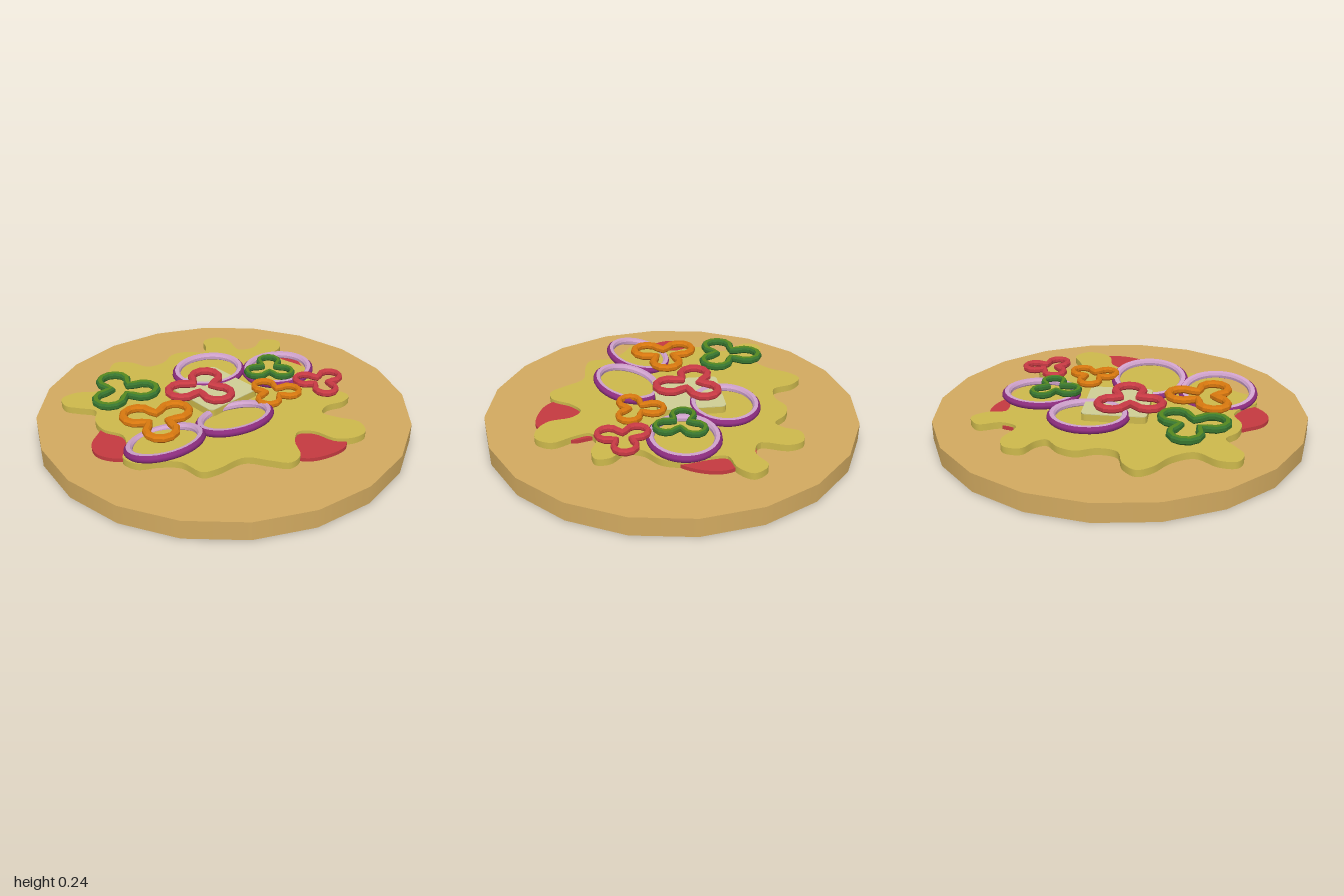
import * as THREE from 'three';
import { toCreasedNormals } from 'three/addons/utils/BufferGeometryUtils.js';

const mat = (name, color, side = THREE.FrontSide) => {
  const m = new THREE.MeshStandardMaterial({ color, side });
  m.name = name;
  return m;
};

// Smooth closed outline through x, z pairs
function blobShape(xz, divisions) {
  const pts = [];
  for (let i = 0; i < xz.length; i += 2) pts.push(new THREE.Vector3(xz[i], xz[i + 1], 0));
  const curve = new THREE.CatmullRomCurve3(pts, true);
  return new THREE.Shape(curve.getPoints(divisions).slice(0, -1).map(p => new THREE.Vector2(p.x, p.y)));
}

// Lies flat: shape coordinates are x and z, top at the given height
function slab(shape, top, depth) {
  const g = new THREE.ExtrudeGeometry(shape, { depth, bevelEnabled: false });
  g.rotateX(Math.PI / 2);
  g.translate(0, top, 0);
  return toCreasedNormals(g, 0.6);
}

// Three-lobed pepper slice: a wall of even width following a clover line
function pepperGeometry() {
  const line = [];
  for (let k = 0; k < 3; k++) {
    const a = k * Math.PI * 2 / 3, c = Math.cos(a), s = Math.sin(a);
    for (let i = 0; i <= 8; i++) {
      const f = THREE.MathUtils.degToRad(-128 + 32 * i);
      const x = 0.11 + 0.075 * Math.cos(f), y = 0.075 * Math.sin(f);
      line.push(new THREE.Vector2(x * c - y * s, x * s + y * c));
    }
    line.push(new THREE.Vector2(Math.cos(a + Math.PI / 3), Math.sin(a + Math.PI / 3)).multiplyScalar(0.058));
  }
  const n = line.length;
  const offset = d => line.map((p, i) => {
    const t = line[(i + 1) % n].clone().sub(line[(i + n - 1) % n]).normalize();
    return new THREE.Vector2(p.x + t.y * d, p.y - t.x * d);
  });
  const shape = new THREE.Shape(offset(0.011));
  shape.holes.push(new THREE.Path(offset(-0.011)));
  const g = new THREE.ExtrudeGeometry(shape, {
    depth: 0.017, bevelEnabled: true, bevelSize: 0.009, bevelThickness: 0.01, bevelSegments: 1,
  });
  g.rotateX(Math.PI / 2);
  g.translate(0, 0.0085, 0);
  return g;
}

export function createModel() {
  const model = new THREE.Group();
  const crust = mat('crust tan', 0xd2aa60);
  const sauceRed = mat('sauce red', 0xc43a40);
  const cheeseYellow = mat('cheese yellow', 0xcdb94c);
  const paleCheese = mat('pale cheese', 0xcfce95);
  const onionPurple = mat('onion purple', 0x8a2c7c, THREE.DoubleSide);
  const onionLilac = mat('onion lilac', 0xcfa2cc, THREE.DoubleSide);
  const pepperRed = mat('pepper red', 0xc83a44);
  const pepperOrange = mat('pepper orange', 0xd8780f);
  const pepperGreen = mat('pepper green', 0x54881f);
  const greenSkin = mat('green skin', 0x37742f);

  const add = (name, geometry, material, parent = model) => {
    const m = new THREE.Mesh(geometry, material);
    m.name = name;
    parent.add(m);
    return m;
  };

  // Base
  const base = new THREE.CylinderGeometry(1, 1, 0.1, 20);
  base.translate(0, 0.05, 0);
  add('crustBase', base, crust);

  // Sauce, showing past the cheese in a few places
  add('sauce', slab(blobShape([
    -0.36, -0.5, -0.33, -0.58, -0.2, -0.67, -0.1, -0.67, 0.02, -0.61, 0.15, -0.45, 0.3, -0.32, 0.43, -0.3,
    0.54, -0.32, 0.62, -0.25, 0.72, -0.16, 0.71, -0.02, 0.65, 0.08, 0.5, 0.12, 0.35, 0.25, 0.25, 0.45,
    0.12, 0.62, 0.04, 0.74, -0.06, 0.79, -0.15, 0.76, -0.22, 0.66, -0.35, 0.45, -0.45, 0.15, -0.4, -0.2,
  ], 110), 0.12, 0.025), sauceRed);

  // Melted cheese
  add('meltedCheese', slab(blobShape([
    -0.3, -0.74, -0.23, -0.68, -0.2, -0.58, -0.1, -0.58, 0.02, -0.6, 0.12, -0.57, 0.2, -0.48, 0.28, -0.46,
    0.36, -0.53, 0.43, -0.53, 0.45, -0.46, 0.42, -0.36, 0.45, -0.29, 0.53, -0.31, 0.64, -0.36, 0.72, -0.31,
    0.72, -0.23, 0.66, -0.15, 0.54, -0.12, 0.49, -0.06, 0.54, 0.02, 0.64, 0.09, 0.65, 0.17, 0.57, 0.23,
    0.47, 0.3, 0.45, 0.46, 0.42, 0.53, 0.29, 0.55, 0.21, 0.63, 0.16, 0.71, 0.07, 0.73, 0.02, 0.67,
    -0.09, 0.61, -0.2, 0.65, -0.3, 0.63, -0.38, 0.57, -0.46, 0.62, -0.53, 0.66, -0.61, 0.63, -0.61, 0.54,
    -0.54, 0.43, -0.6, 0.32, -0.71, 0.24, -0.75, 0.17, -0.69, 0.1, -0.58, 0.06, -0.56, -0.04, -0.6, -0.14,
    -0.57, -0.23, -0.5, -0.3, -0.53, -0.35, -0.61, -0.4, -0.6, -0.49, -0.52, -0.52, -0.38, -0.48, -0.34, -0.57,
    -0.38, -0.68,
  ], 260), 0.137, 0.037), cheeseYellow);

  // Central cheese piece with a pale top
  const square = new THREE.Shape();
  const x0 = -0.27, x1 = 0.09, z0 = -0.17, z1 = 0.17, r = 0.03;
  square.moveTo(x0 + r, z0).lineTo(x1 - r, z0).quadraticCurveTo(x1, z0, x1, z0 + r)
    .lineTo(x1, z1 - r).quadraticCurveTo(x1, z1, x1 - r, z1)
    .lineTo(x0 + r, z1).quadraticCurveTo(x0, z1, x0, z1 - r)
    .lineTo(x0, z0 + r).quadraticCurveTo(x0, z0, x0 + r, z0);
  add('cheesePiece', slab(square, 0.174, 0.04), cheeseYellow);
  add('cheesePieceTop', slab(square, 0.178, 0.004), paleCheese);

  // Onion rings: purple outside, lilac top and inside
  const lathe = pts => new THREE.LatheGeometry(pts.map(p => new THREE.Vector2(...p)), 32);
  const skin = lathe([[0.185, -0.02], [0.205, -0.018], [0.215, -0.006], [0.213, 0.006], [0.2, 0.018]]);
  const flesh = toCreasedNormals(
    lathe([[0.2, 0.018], [0.178, 0.018], [0.169, 0.006], [0.17, -0.01], [0.185, -0.02]]), 0.7);
  [
    [-0.01, 0.167, -0.43, 0],
    [-0.265, 0.167, -0.13, 0],
    [0.228, 0.184, 0.137, 0.22],
    [0.135, 0.165, 0.52, 0.22],
  ].forEach(([x, y, z, tilt], i) => {
    const ring = new THREE.Group();
    ring.name = 'onionRing' + (i + 1);
    ring.position.set(x, y, z);
    ring.rotation.z = tilt;
    ring.scale.x = 0.88;
    add('onionSkin', skin, onionPurple, ring);
    add('onionFlesh', flesh, onionLilac, ring);
    model.add(ring);
  });

  // Pepper slices: x, z, turn in degrees, scale
  const pepper = pepperGeometry();
  [
    ['redPepperLarge', pepperRed, -0.105, 0.065, -8, 1],
    ['orangePepperLarge', pepperOrange, -0.01, 0.445, -90, 1],
    ['greenPepperLarge', [pepperGreen, greenSkin], -0.37, 0.4, -48, 1],
    ['redPepperSmall', pepperRed, 0.29, -0.45, -92, 0.74],
    ['greenPepperSmall', [pepperGreen, greenSkin], -0.005, -0.355, -16, 0.74],
    ['orangePepperSmall', pepperOrange, 0.2, -0.18, -55, 0.74],
  ].forEach(([name, material, x, z, turn, s]) => {
    const slice = add(name, pepper, material);
    slice.position.set(x, 0.199, z);
    slice.rotation.y = -THREE.MathUtils.degToRad(turn);
    slice.scale.set(s, s < 1 ? 0.9 : 1, s);
  });

  return model;
}
